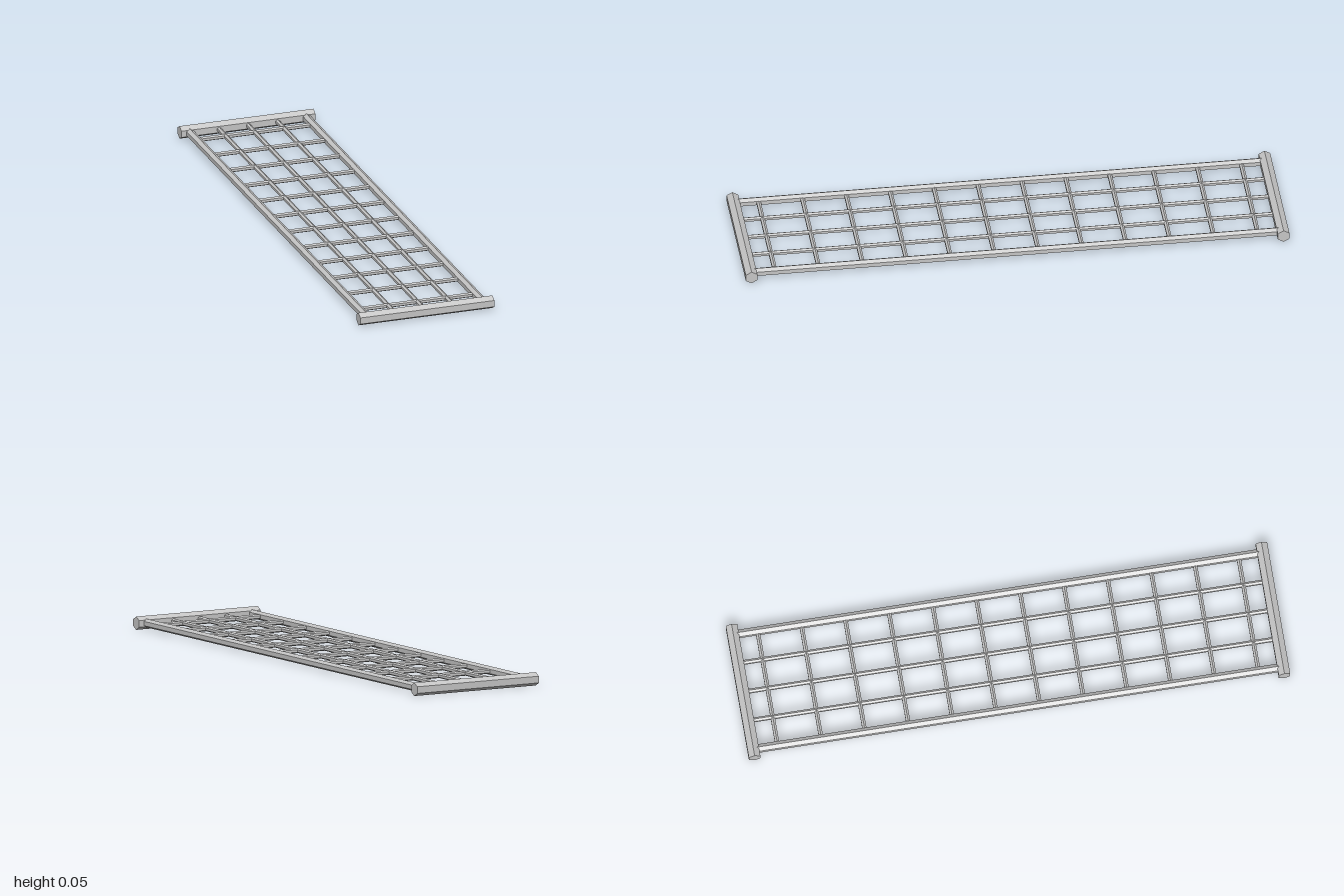
import * as THREE from 'three';

export function createModel() {
  const model = new THREE.Group();
  model.name = 'ladderPanel';
  const metal = new THREE.MeshStandardMaterial({ color: 0xc6c6c6, flatShading: true });
  metal.name = 'light grey metal';
  const midY = 0.0245;

  // Six-sided bar with a ridge on top, running along z or x
  function bar(name, radius, length, axis, x, z) {
    const geometry = new THREE.CylinderGeometry(radius, radius, length, 6);
    geometry.rotateX(Math.PI / 2);
    if (axis === 'x') geometry.rotateY(Math.PI / 2);
    const mesh = new THREE.Mesh(geometry, metal);
    mesh.name = name;
    mesh.position.set(x, midY, z);
    model.add(mesh);
  }

  // Thick end bars and side rails
  for (const side of [-1, 1]) {
    bar('endBar', 0.0245, 0.518, 'x', 0, side * 0.9788);
    bar('sideRail', 0.016, 1.956, 'z', side * 0.225, 0);
  }

  // Thin lengthwise rods
  for (const x of [-0.113, 0, 0.113]) bar('longRod', 0.009, 1.956, 'z', x, 0);

  // Thin rungs
  for (let i = 0; i < 12; i++) bar('rung', 0.009, 0.474, 'x', 0, (i - 5.5) * 0.1615);

  return model;
}
